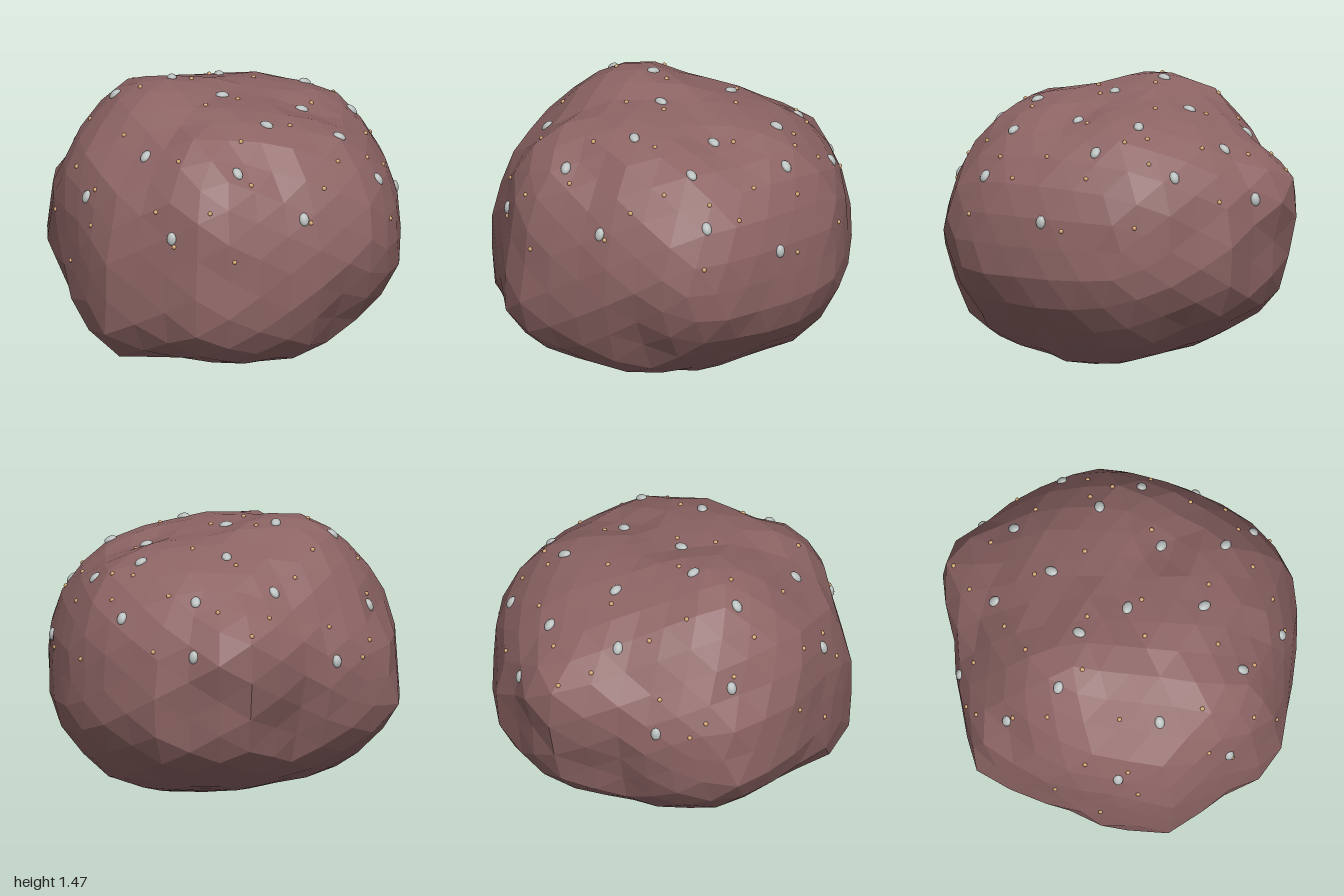
import * as THREE from 'three';

const CY = 0.7; // height of the boulder's core
const core = new THREE.Vector3(0, CY, 0);
const toPoints = (list) => list.map((p) => new THREE.Vector3(...p));

// Outlines of the boulder in three planes
const frontLine = [[0.03, 0], [0.28, 0], [0.4, 0.02], [0.57, 0.13], [0.72, 0.24], [0.85, 0.36], [0.92, 0.49], [0.94, 0.65],
  [0.94, 0.75], [0.91, 0.92], [0.83, 1.05], [0.75, 1.15], [0.58, 1.28], [0.41, 1.35], [0.2, 1.38], [0, 1.41], [-0.28, 1.475],
  [-0.4, 1.475], [-0.55, 1.41], [-0.7, 1.27], [-0.76, 1.2], [-0.9, 0.92], [-0.91, 0.82], [-0.92, 0.7], [-0.94, 0.47],
  [-0.68, 0.2], [-0.52, 0.1], [-0.2, 0.05]].map(([x, y]) => [x, y - CY]);
const sideLine = [[0.1, 0], [0.25, 0.02], [0.62, 0.08], [0.84, 0.2], [0.96, 0.33], [1, 0.48], [0.99, 0.6], [0.95, 0.8],
  [0.95, 0.9], [0.92, 1.07], [0.84, 1.22], [0.65, 1.34], [0.4, 1.39], [0.1, 1.46], [-0.05, 1.47], [-0.2, 1.41], [-0.33, 1.35],
  [-0.48, 1.34], [-0.65, 1.23], [-0.9, 1.07], [-1, 0.95], [-0.92, 0.62], [-0.93, 0.47], [-0.85, 0.33], [-0.5, 0.13],
  [-0.38, 0.08], [-0.1, 0]].map(([z, y]) => [z, y - CY]);
const topLine = [[-0.01, 1], [-0.15, 0.98], [-0.36, 0.87], [-0.67, 0.7], [-0.72, 0.6], [-0.82, 0.4], [-0.9, 0.15], [-0.94, -0.1],
  [-0.94, -0.3], [-0.75, -0.5], [-0.6, -0.63], [-0.42, -0.77], [-0.23, -0.95], [-0.04, -1], [0.08, -0.97], [0.36, -0.92],
  [0.55, -0.76], [0.75, -0.57], [0.83, -0.47], [0.9, -0.2], [0.93, 0], [0.93, 0.27], [0.88, 0.45], [0.8, 0.6], [0.55, 0.8],
  [0.2, 0.93]];

// Pebble positions (x, y, z)
const pebbles = toPoints([[-0.62, 0.84, -0.61], [-0.28, 1.2, -0.58], [0.14, 0.94, -0.93], [0.13, 1.19, -0.72],
  [0.52, 1.08, -0.65], [-0.03, 1.35, -0.39], [0.42, 1.31, -0.36], [-0.78, 1.05, -0.22], [0.67, 1.2, -0.25],
  [-0.29, 1.47, -0.07], [0.89, 0.84, -0.05], [-0.59, 1.39, -0.02], [-0.02, 1.4, 0.07], [0.4, 1.31, 0.03], [0.59, 1.26, 0.31],
  [0.8, 1.04, 0.36], [0.21, 1.37, 0.41], [-0.74, 0.98, 0.44], [-0.43, 1.23, 0.51], [0.05, 1.22, 0.74], [0.4, 0.97, 0.77],
  [-0.3, 0.9, 0.86]]);

// Beads on the steep flanks (x, y, z)
const flankBeads = toPoints([[0.03, 0.8, 0.94], [-0.1, 1.06, 0.91], [-0.38, 1.02, 0.78], [0.12, 1.16, 0.76], [0.44, 0.95, 0.77],
  [-0.29, 0.86, 0.88], [0.51, 1.1, 0.65], [-0.72, 0.86, 0.55], [-0.69, 1.03, 0.47], [-0.82, 0.6, 0.38], [-0.8, 1.09, 0.27],
  [0.86, 0.84, 0.42], [0.83, 1.05, 0.17], [0.88, 0.8, -0.17], [0.74, 0.83, -0.54], [0.76, 1.07, -0.25], [0.74, 1.14, 0.3],
  [0.73, 1.16, 0.01], [0.35, 0.94, -0.82], [-0.91, 0.8, 0.15]]);

// Beads on the crown, seen from above (x, z)
const crownBeads = [[-0.17, -0.9], [-0.26, -0.75], [0.01, -0.78], [0.27, -0.66], [-0.57, -0.54], [-0.76, -0.49], [-0.39, -0.46],
  [-0.78, -0.4], [-0.08, -0.46], [0.46, -0.44], [0.57, -0.52], [0.57, -0.37], [0.15, -0.29], [-0.48, -0.28], [-0.76, -0.19],
  [-0.71, -0.01], [-0.18, -0.08], [0.45, -0.06], [-0.45, 0.05], [0.06, 0.11], [-0.11, 0.23], [-0.54, 0.33], [0.33, 0.36],
  [0.58, 0.48], [0.07, 0.57], [-0.26, 0.67]];

// Corners, ridges and hollows of the rock
const corners = toPoints([
  [-0.66, 0.2, 0.6], [-0.3, 0.2, 0.74], [0.05, 0.19, 0.79], [0.31, 0.17, 0.7], // lower front ridge
  [-0.66, 0.33, 0.7], [-0.38, 0.35, 0.85], [-0.1, 0.38, 0.97], [0.33, 0.46, 0.86], // front wall
  [0, 0.1, 0.42], [-0.5, 0.1, -0.07], [0.38, 0.03, -0.2], [0.2, 0, 0.1], // underside
  [-0.94, 0.47, -0.3], [-0.8, 0.33, 0.15], [-0.84, 0.46, 0.43], // right side edge
  [0.45, 0.13, 0.5], [0.58, 0.42, 0.62], [0.72, 0.27, 0.1], [0.83, 0.38, -0.24], [0.6, 0.17, -0.42], // left flank
  [0.82, 0.7, -0.45], [-0.04, 0.95, -1], [0.22, 0.62, -0.9], [-0.35, 0.5, -0.68], [-0.56, 1.0, -0.56], // back
  [-0.15, 1.34, 0.63]]);

// Distance from the core to an outline along (u, v), in units of (u, v)
function reach(line, u, v) {
  let best = 0;
  line.forEach(([ax, ay], i) => {
    const [bx, by] = line[(i + 1) % line.length];
    const ex = bx - ax, ey = by - ay;
    const det = u * ey - v * ex;
    if (Math.abs(det) < 1e-9) return;
    const t = (ax * ey - ay * ex) / det;
    const s = (ax * v - ay * u) / det;
    if (t > 0 && s >= -1e-6 && s <= 1 + 1e-6) best = Math.max(best, t);
  });
  return best;
}

// Blend of the three outlines, and the limit none may pass
function outlineRadius(d) {
  let sum = 0, total = 0, limit = 9;
  for (const [line, u, v, off] of [[frontLine, d.x, d.y, d.z], [sideLine, d.z, d.y, d.x], [topLine, d.x, d.z, d.y]]) {
    const len = Math.hypot(u, v);
    if (len < 1e-4) continue;
    const t = reach(line, u, v);
    const w = 1 / (off * off + 0.02);
    sum += w * t * len;
    total += w;
    limit = Math.min(limit, t);
  }
  return { base: Math.min(sum / total, limit), limit };
}

// Local pushes that lead the surface through the known points
const pins = [...pebbles, ...flankBeads, ...corners].map((p) => {
  const dir = p.clone().sub(core);
  const gap = dir.length() - outlineRadius(dir.normalize()).base;
  return { dir, gap, push: gap };
});
function pushAt(d) {
  let sum = 0, weight = 0;
  for (const p of pins) {
    const g = Math.exp(-d.distanceToSquared(p.dir) / 0.045);
    sum += g * p.push;
    weight += g;
  }
  return sum / Math.max(1, weight);
}
for (let i = 0; i < 6; i++) {
  const errors = pins.map((p) => p.gap - pushAt(p.dir));
  pins.forEach((p, k) => { p.push += 0.5 * errors[k]; });
}

function makeBoulder() {
  const geo = new THREE.IcosahedronGeometry(1, 5);
  const pos = geo.attributes.position;
  const d = new THREE.Vector3();
  for (let i = 0; i < pos.count; i++) {
    d.fromBufferAttribute(pos, i).normalize();
    const { base, limit } = outlineRadius(d);
    const rough = 0.01 * Math.sin(11 * d.x + 5 * d.y + 1) * Math.sin(9 * d.z - 7 * d.y);
    d.multiplyScalar(Math.min(base + pushAt(d) + rough, limit)).add(core);
    pos.setXYZ(i, d.x, d.y, d.z);
  }
  geo.computeVertexNormals();
  geo.computeBoundingSphere();
  const mesh = new THREE.Mesh(geo, new THREE.MeshStandardMaterial({ color: 0x8d6464, flatShading: true }));
  mesh.name = 'boulder';
  return mesh;
}

export function createModel() {
  const model = new THREE.Group();
  model.name = 'studdedBoulder';
  const boulder = makeBoulder();
  model.add(boulder);

  const ray = new THREE.Raycaster();
  const hitFrom = (origin, dir) => {
    ray.set(origin, dir);
    return ray.intersectObject(boulder)[0];
  };
  const hitToward = (p) => {
    const dir = p.clone().sub(core).normalize();
    return hitFrom(core.clone().addScaledVector(dir, 3), dir.negate());
  };
  const hitBelow = ([x, z]) => {
    let hit;
    for (let k = 1; !hit && k > 0.8; k -= 0.02) hit = hitFrom(new THREE.Vector3(x * k, 3, z * k), new THREE.Vector3(0, -1, 0));
    return hit;
  };
  // Studs half sunk into the surface, flat side outward
  const addStuds = (name, geo, color, hits) => {
    const group = new THREE.Group();
    group.name = name + 's';
    const mat = new THREE.MeshStandardMaterial({ color });
    for (const hit of hits) {
      const stud = new THREE.Mesh(geo, mat);
      stud.name = name;
      stud.position.copy(hit.point);
      stud.lookAt(hit.point.clone().add(hit.face.normal));
      group.add(stud);
    }
    model.add(group);
  };

  // Silver pebbles and small golden beads
  addStuds('pebble', new THREE.SphereGeometry(1, 14, 10).scale(0.026, 0.035, 0.02), 0xb9bfbe, pebbles.map(hitToward));
  addStuds('bead', new THREE.SphereGeometry(0.012, 10, 8), 0xd6a674,
    [...flankBeads.map(hitToward), ...crownBeads.map(hitBelow)]);
  return model;
}
